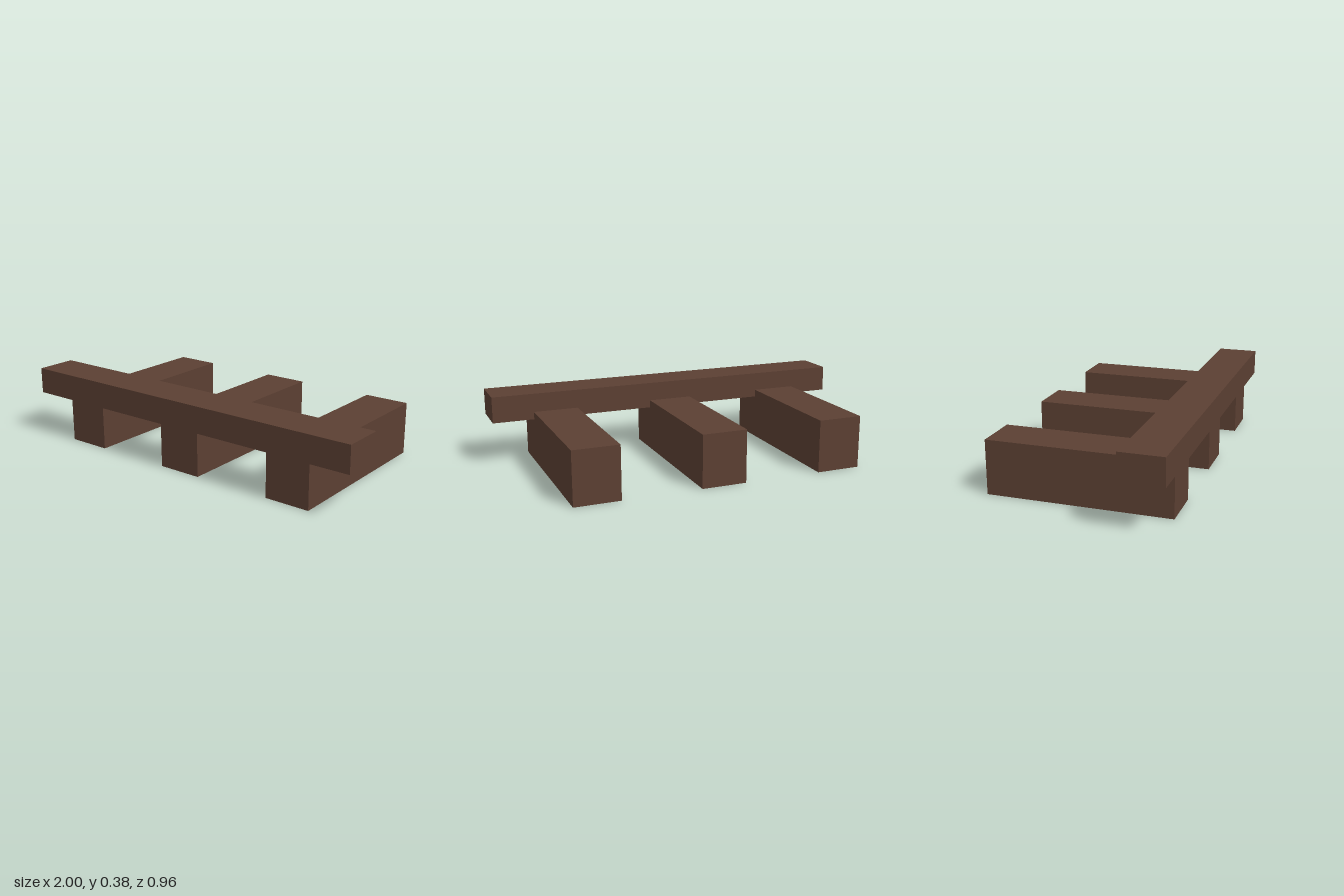
import * as THREE from 'three';

export function createModel() {
  const model = new THREE.Group();
  model.name = 'timberFrame';
  const wood = new THREE.MeshStandardMaterial({ color: 0x5c4033 });
  wood.name = 'dark brown wood';

  const addBeam = (name, size, position) => {
    const beam = new THREE.Mesh(new THREE.BoxGeometry(...size), wood);
    beam.name = name;
    beam.position.set(...position);
    model.add(beam);
  };

  // Three sleepers running front to back
  const sleepers = { rightSleeper: -0.66, middleSleeper: 0, leftSleeper: 0.66 };
  for (const [name, x] of Object.entries(sleepers)) {
    addBeam(name, [0.24, 0.28, 0.94], [x, 0.14, -0.01]);
  }

  // Cross beam notched over the front ends of the sleepers
  addBeam('crossBeam', [2, 0.14, 0.22], [0, 0.31, 0.37]);

  return model;
}
